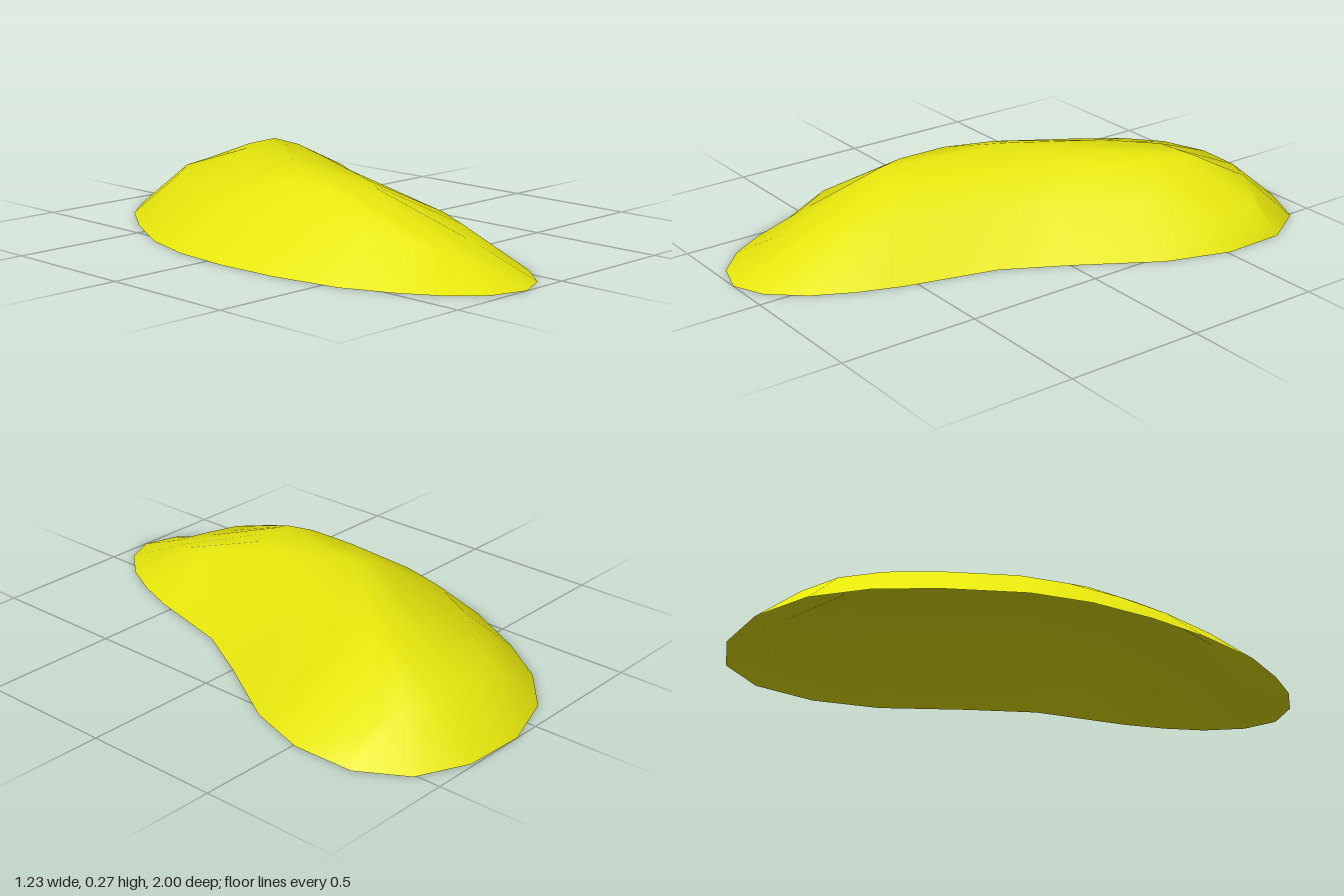
import * as THREE from 'three';

// Rim of the shell (x, z), from the back round by +x
const RIM = [
  [0.10, -1.0], [0.33, -0.99], [0.51, -0.905], [0.61, -0.74], [0.614, -0.51], [0.54, -0.28],
  [0.37, 0.0], [0.25, 0.22], [0.165, 0.55], [0.11, 0.70], [0.04, 0.835], [-0.06, 0.95],
  [-0.175, 1.0], [-0.30, 0.96], [-0.405, 0.86], [-0.485, 0.73], [-0.56, 0.56], [-0.605, 0.31],
  [-0.617, 0.08], [-0.60, -0.15], [-0.545, -0.355], [-0.415, -0.60], [-0.285, -0.785], [-0.12, -0.925],
];
// Outline of the crest (x, z), one point for every second rim point
const CREST = [
  [0.13, -0.60], [0.28, -0.62], [0.25, -0.46], [0.12, -0.18], [-0.09, 0.24], [-0.17, 0.35],
  [-0.23, 0.36], [-0.28, 0.34], [-0.31, 0.24], [-0.31, 0.05], [-0.25, -0.13], [-0.02, -0.46],
];
const CREST_HEIGHT = 0.233;
const APEX = [-0.13, 0.27, -0.1];

// Shoulder: the rim moved inwards and up, lower towards the front tip
function shoulderPoint(i) {
  const n = RIM.length, [x, z] = RIM[i];
  const before = RIM[(i + n - 1) % n], after = RIM[(i + 1) % n];
  const tx = after[0] - before[0], tz = after[1] - before[1], length = Math.hypot(tx, tz);
  const inset = x > 0.6 ? 0.09 : 0.175;
  const px = x - (tz / length) * inset, pz = z + (tx / length) * inset;
  return [px, Math.min(inset, 0.15, 0.36 * (1 - pz)), pz];
}

// Crest: listed points with midpoints between them
function crestPoint(i) {
  const a = CREST[Math.floor(i / 2)], b = CREST[Math.ceil(i / 2) % CREST.length];
  return [(a[0] + b[0]) / 2, CREST_HEIGHT, (a[1] + b[1]) / 2];
}

function shellGeometry() {
  const n = RIM.length, index = [];
  const rings = [
    RIM.map(([x, z]) => [x, 0, z]),
    RIM.map((_, i) => shoulderPoint(i)),
    RIM.map((_, i) => crestPoint(i)),
  ];
  const top = rings.length * n;
  for (let r = 0; r < rings.length; r++) {
    for (let i = 0; i < n; i++) {
      const a = r * n + i, b = r * n + (i + 1) % n;
      if (r === rings.length - 1) index.push(a, top, b);
      else index.push(a, a + n, b, b, a + n, b + n);
    }
  }
  const positions = [...rings.flat(2), ...APEX];
  const geometry = new THREE.BufferGeometry();
  geometry.setAttribute('position', new THREE.Float32BufferAttribute(positions, 3));
  geometry.setIndex(index);
  geometry.computeVertexNormals();
  return geometry;
}

export function createModel() {
  const group = new THREE.Group();
  group.name = 'curvedShell';
  // Open underneath, so both faces show
  const yellow = new THREE.MeshStandardMaterial({ color: 0xe6e60c, side: THREE.DoubleSide });
  yellow.name = 'yellow';
  const shell = new THREE.Mesh(shellGeometry(), yellow);
  shell.name = 'shell';
  group.add(shell);
  return group;
}
